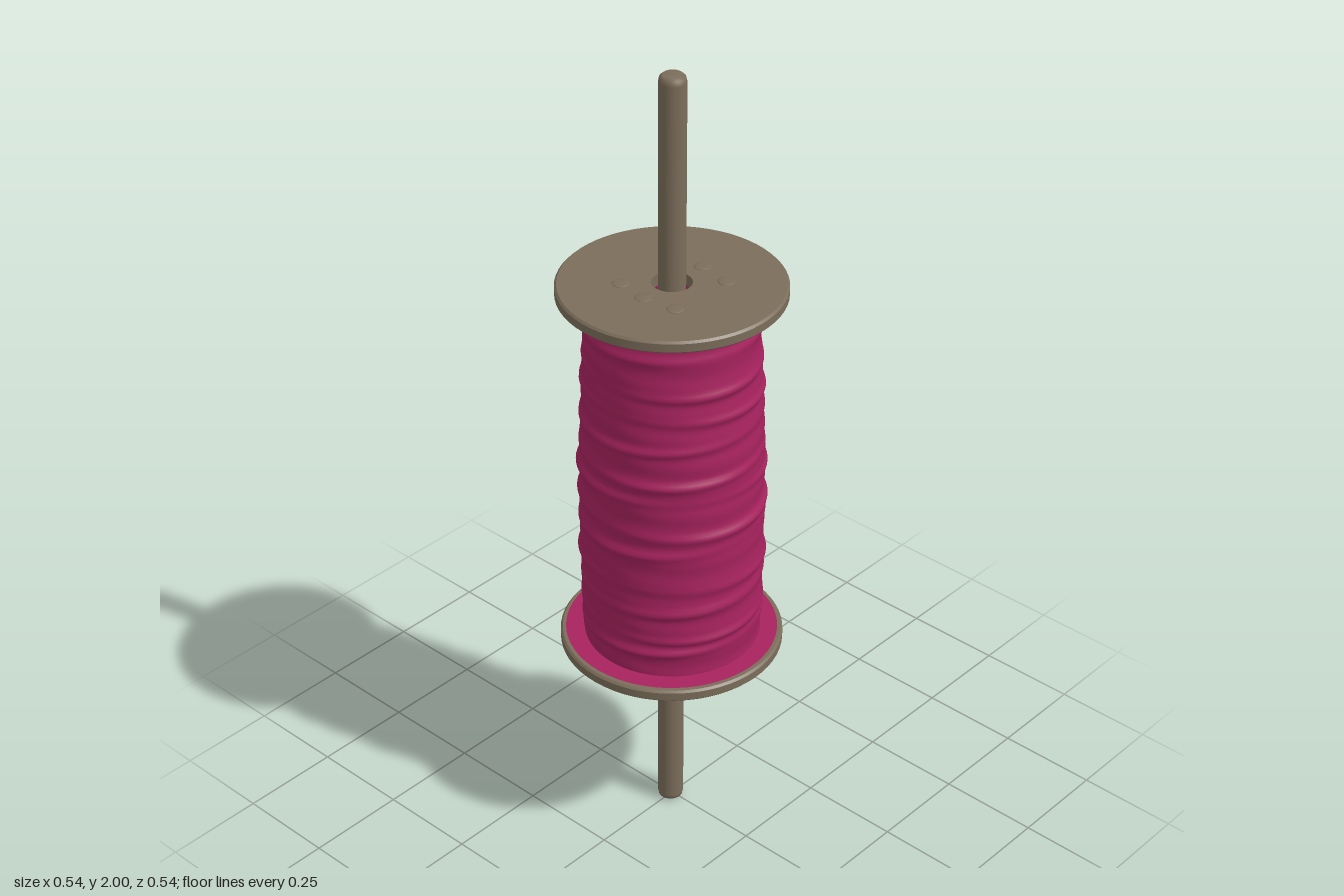
import * as THREE from 'three';
import { toCreasedNormals } from 'three/addons/utils/BufferGeometryUtils.js';

const V = (x, y) => new THREE.Vector2(x, y);

export function createModel() {
  const model = new THREE.Group();
  model.name = 'threadSpool';
  const wood = new THREE.MeshStandardMaterial({ name: 'weatheredWood', color: 0x7b6d5a });
  const thread = new THREE.MeshStandardMaterial({ name: 'magentaThread', color: 0xa8235f, side: THREE.DoubleSide });

  const add = (name, geometry, material, x = 0, y = 0, z = 0) => {
    const mesh = new THREE.Mesh(geometry, material);
    mesh.name = name;
    mesh.position.set(x, y, z);
    model.add(mesh);
    return mesh;
  };

  // Spindle: a slightly leaning rod with softened ends
  const r = 0.032;
  const rod = new THREE.LatheGeometry([
    V(0, -1), V(r * 0.7, -1), V(r * 0.92, -0.994), V(r, -0.982),
    V(r, 0.982), V(r * 0.92, 0.994), V(r * 0.7, 1), V(0, 1),
  ], 32);
  add('spindle', rod, wood, 0, 1, -0.002).rotation.set(-0.002, 0, -0.006);

  // End discs: bevelled rims and a loose hole for the spindle
  const disc = (name, radius, hole, x, y, z) => {
    const h = 0.015, b = 0.005;
    const g = new THREE.LatheGeometry([
      V(hole, -h), V(radius - b, -h), V(radius, -h + b),
      V(radius, h - b), V(radius - b, h), V(hole, h), V(hole, -h),
    ], 64);
    add(name, toCreasedNormals(g, 0.5), wood, x, y, z);
  };
  disc('topDisc', 0.266, 0.047, 0.005, 1.472, -0.005);
  disc('bottomDisc', 0.27, 0.047, -0.002, 0.52, 0);

  // Low knots around the hole of the top disc
  const knots = [[-0.078, -0.085], [0.103, -0.085], [-0.09, -0.004], [0.105, -0.002], [-0.078, 0.082], [0.09, 0.084]];
  for (const [x, z] of knots) {
    const g = new THREE.SphereGeometry(0.021, 16, 6, 0, Math.PI * 2, 0, Math.PI / 2);
    add('knot', g.scale(1, 0.14, 1), wood, x, 1.487, z);
  }

  // Thread winding: bulging sleeve with uneven, slightly slanted ridges
  const outline = new THREE.SplineCurve([
    V(0.214, 0.534), V(0.217, 0.65), V(0.219, 0.9), V(0.216, 1.1), V(0.208, 1.28), V(0.2, 1.458),
  ]);
  const winding = new THREE.LatheGeometry(outline.getPoints(150), 72);
  const ridges = [
    [0.6, 0.4], [0.645, 2.6], [0.72, 1.2], [0.775, 4.5], [0.88, 0.2], [0.935, 3.4], [1.02, 5.2],
    [1.08, 1.9], [1.165, 0.8], [1.24, 3.9], [1.31, 2.8], [1.39, 5.6],
  ];
  const p = winding.attributes.position;
  for (let i = 0; i < p.count; i++) {
    const x = p.getX(i), y = p.getY(i), z = p.getZ(i);
    const a = Math.atan2(z, x), radius = Math.hypot(x, z);
    let offset = 0.0012 * Math.sin(y * 95 + 2 * Math.sin(a)) - 0.001;
    for (const [level, phase] of ridges) {
      const d = (y - level - 0.008 * Math.sin(a + phase)) / 0.011;
      offset += (0.005 + 0.003 * Math.cos(a * 2 + phase)) * Math.exp(-d * d);
    }
    const k = 1 + offset / radius;
    p.setXYZ(i, x * k, y, z * k);
  }
  // Weld-free seam: average the end normals so it stays smooth
  winding.computeVertexNormals();
  const n = winding.attributes.normal, rows = 151, last = 72 * rows;
  for (let j = 0; j < rows; j++) {
    const m = new THREE.Vector3().fromBufferAttribute(n, j)
      .add(new THREE.Vector3().fromBufferAttribute(n, last + j)).normalize();
    n.setXYZ(j, m.x, m.y, m.z);
    n.setXYZ(last + j, m.x, m.y, m.z);
  }
  add('threadWinding', winding, thread);

  // Loose thread lying on the lower disc
  const layer = new THREE.RingGeometry(0.2, 0.257, 64).rotateX(-Math.PI / 2);
  add('looseThread', layer, thread, -0.002, 0.537, 0);

  return model;
}
